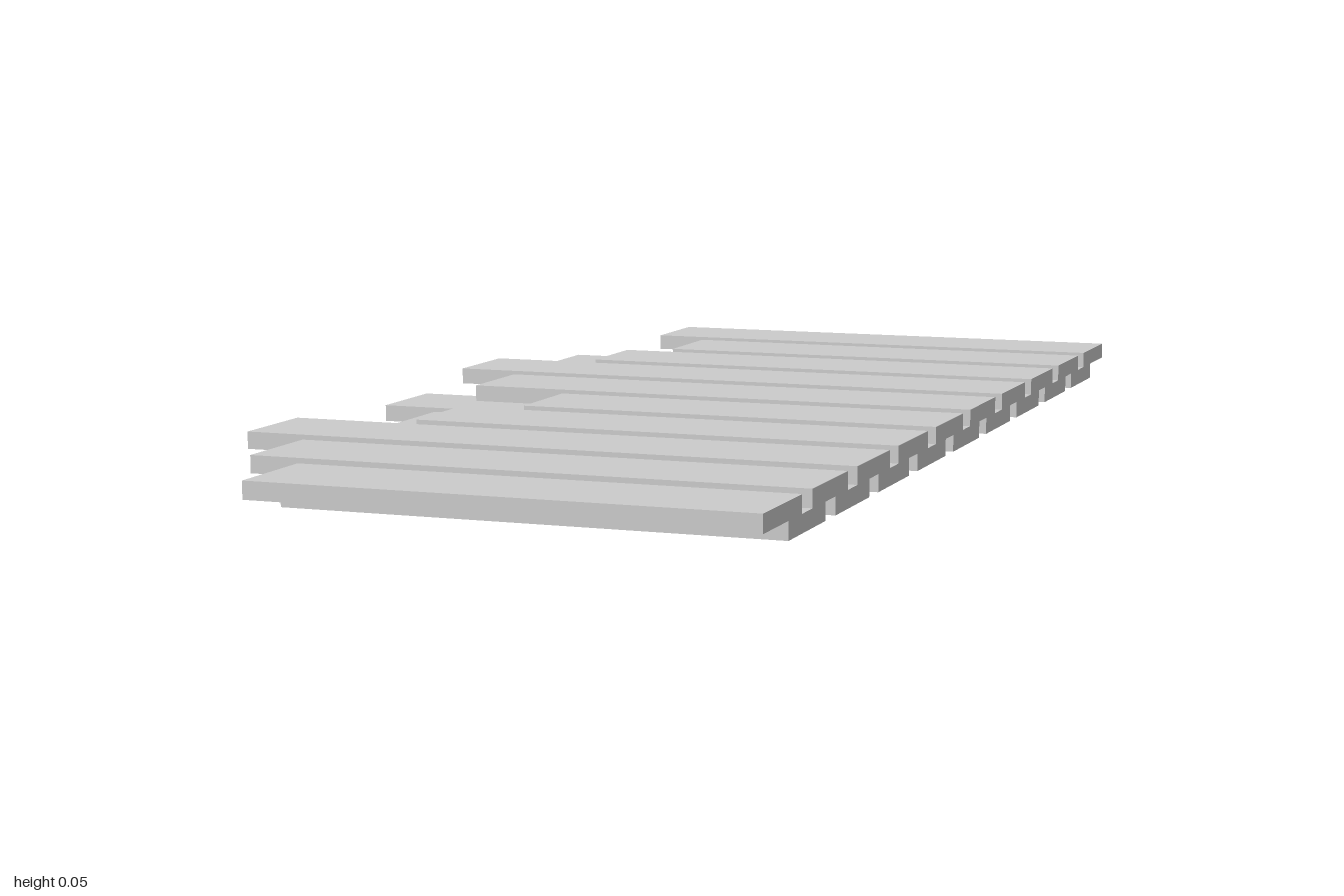
import * as THREE from 'three';

const WIDTH = 0.153, PITCH = 0.196, THICK = 0.026;

// plank lengths, measured from the straight edge
const UPPER = [0.825, 0.724, 0.797, 0.965, 0.848, 0.674, 0.765, 0.946, 0.831, 0.733];
const LOWER = [0.722, 0.936, 0.665, 0.82, 0.966, 0.857, 0.914, 0.768, 0.73];

export function createModel() {
  const model = new THREE.Group();
  model.name = 'plankPlatform';
  const material = new THREE.MeshStandardMaterial({ color: 0xcccccc });

  // a row of parallel planks flush along x = 0, with ragged far ends
  function layer(name, lengths, y, start) {
    const group = new THREE.Group();
    group.name = name;
    lengths.forEach((length, i) => {
      const plank = new THREE.Mesh(new THREE.BoxGeometry(length, THICK, WIDTH), material);
      plank.name = name + 'Plank' + (i + 1);
      plank.position.set(-length / 2, y + THICK / 2, start + i * PITCH + WIDTH / 2);
      group.add(plank);
    });
    return group;
  }

  // the lower row bridges the gaps of the upper row
  const deck = new THREE.Group();
  deck.name = 'deck';
  deck.add(layer('upper', UPPER, THICK, 0), layer('lower', LOWER, 0, PITCH / 2));

  // the whole deck lies diagonally
  deck.rotation.y = THREE.MathUtils.degToRad(35);
  deck.position.set(-0.213, 0, -0.998);
  model.add(deck);
  return model;
}
